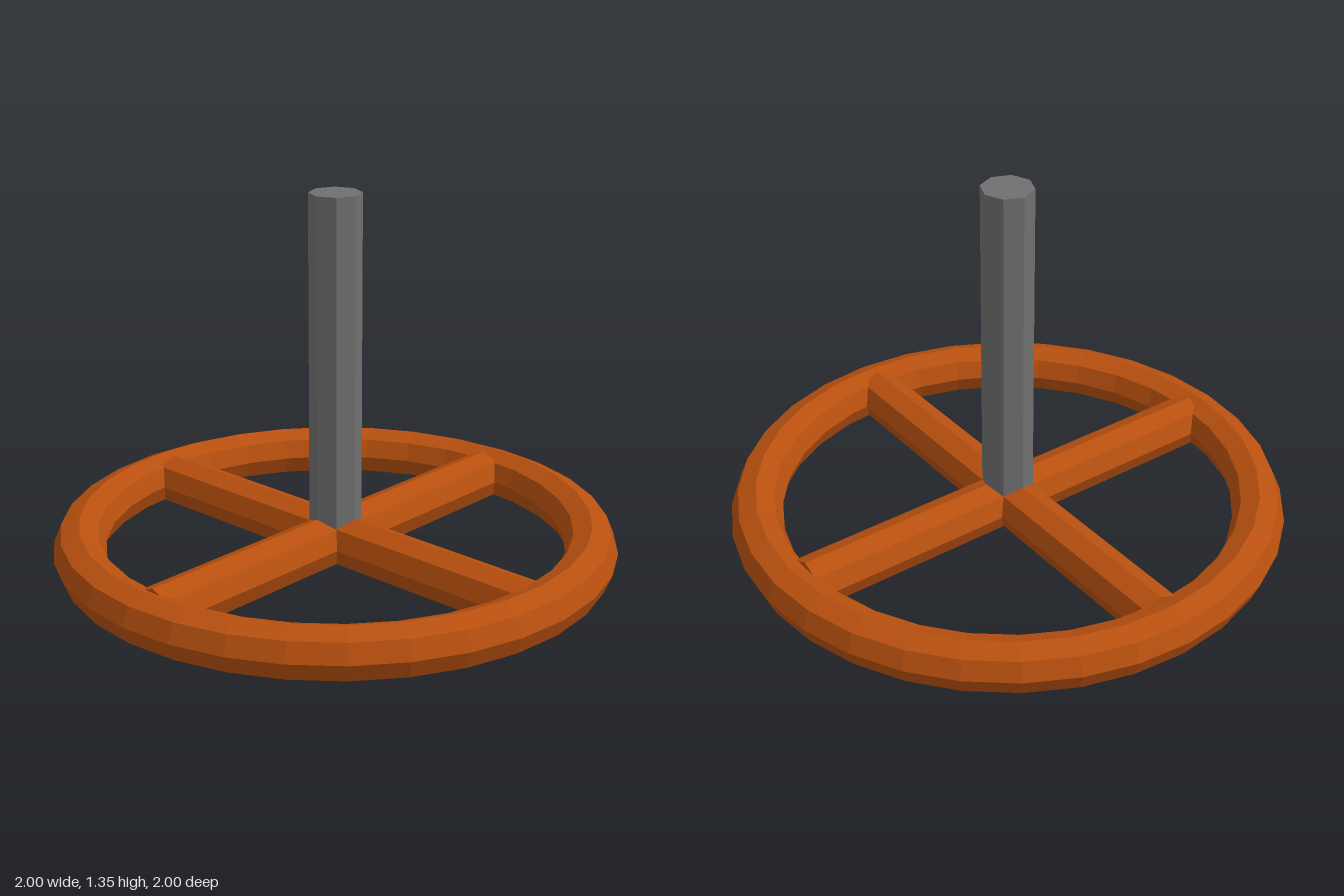
import * as THREE from 'three';

const TUBE = 0.0925; // shared radius of rim, spokes and post
const ORANGE = new THREE.MeshStandardMaterial({ color: 0xb8500f, flatShading: true });
const GREY = new THREE.MeshStandardMaterial({ color: 0x707070, flatShading: true });

function part(name, geometry, material) {
  const mesh = new THREE.Mesh(geometry, material);
  mesh.name = name;
  return mesh;
}

export function createModel() {
  const group = new THREE.Group();
  group.name = 'valveWheel';

  // Octagonal-section rim lying flat
  const rim = part('rim', new THREE.TorusGeometry(1 - TUBE, TUBE, 8, 32).rotateX(Math.PI / 2), ORANGE);
  rim.position.y = TUBE;
  group.add(rim);

  // Two crossing octagonal bars, their ends sunk into the rim
  const bar = new THREE.CylinderGeometry(TUBE, TUBE, 1.72, 8).rotateX(Math.PI / 2);
  for (const axis of ['x', 'z']) {
    const spoke = part(axis === 'x' ? 'crossSpoke' : 'lengthSpoke', bar, ORANGE);
    if (axis === 'x') spoke.rotation.y = Math.PI / 2;
    spoke.position.y = TUBE;
    spoke.position[axis] = 0.01;
    group.add(spoke);
  }

  // Upright octagonal post, rising from the hub
  const bottom = TUBE, top = 1.345;
  const post = part('post', new THREE.CylinderGeometry(TUBE, TUBE, top - bottom, 8), GREY);
  post.position.y = (top + bottom) / 2;
  group.add(post);

  return group;
}
